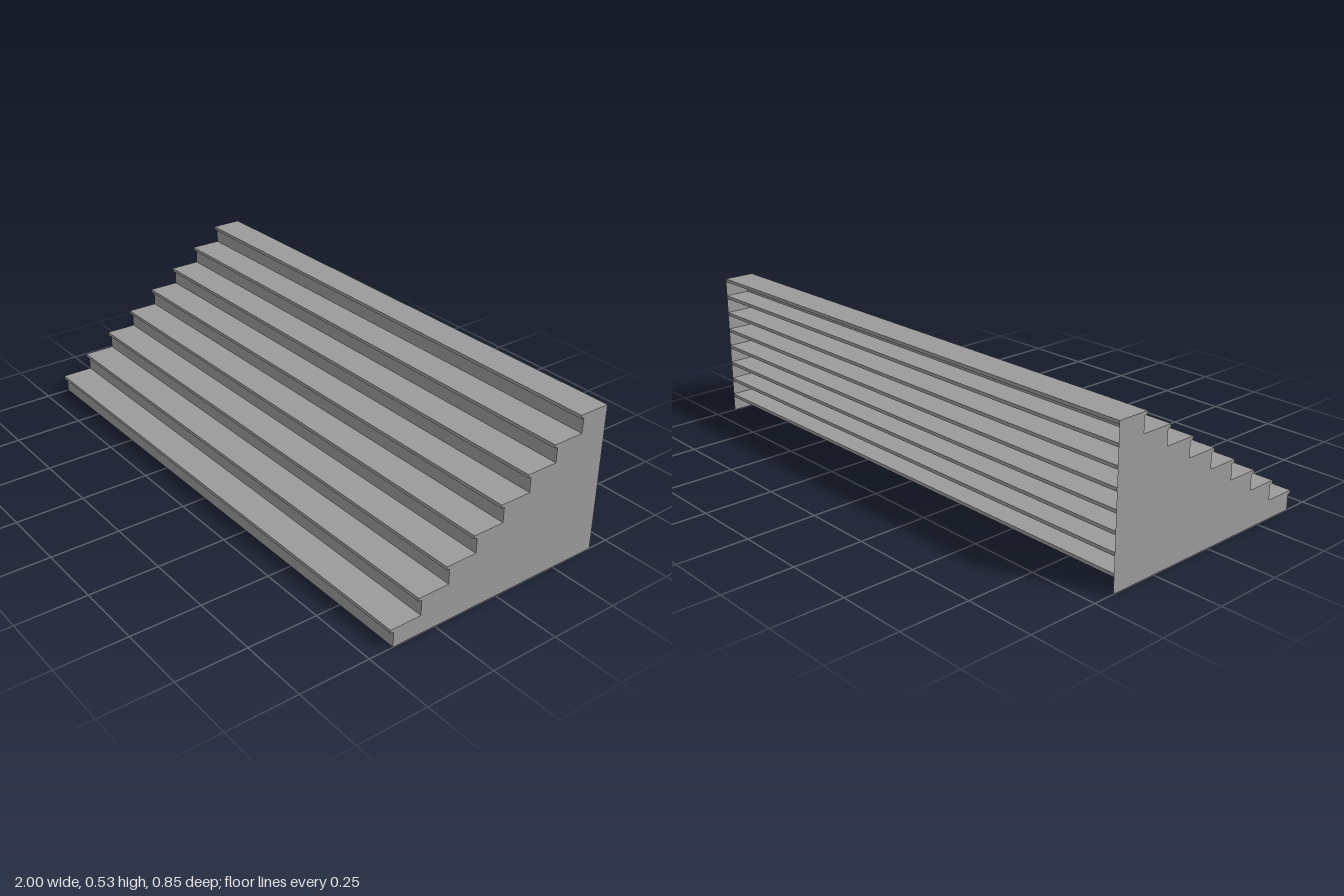
import * as THREE from 'three';

const STEPS = 8, WIDTH = 2, RISE = 0.0663, RUN = 0.1044;
const FRONT = 0.423, BACK = -0.423, THICK = 0.0118, NOSING = 0.0115;

export function createModel() {
  const group = new THREE.Group();
  group.name = 'staircase';
  const material = new THREE.MeshStandardMaterial({ color: 0x9b9b9b, side: THREE.DoubleSide });

  const add = (name, geometry, x, y, z) => {
    const mesh = new THREE.Mesh(geometry, material);
    mesh.name = name;
    mesh.position.set(x, y, z);
    group.add(mesh);
  };

  // Stepped outline of the side panels, drawn in (z, y)
  const outline = new THREE.Shape();
  outline.moveTo(BACK, 0);
  outline.lineTo(FRONT - NOSING, 0);

  for (let i = 0; i < STEPS; i++) {
    const top = RISE * (i + 1), nose = FRONT - RUN * i, riserZ = nose - NOSING;

    // Tread: a thin board running from its nosing right to the open back
    add(`tread${i + 1}`, new THREE.BoxGeometry(WIDTH, THICK, nose - BACK),
      0, top - THICK / 2, (nose + BACK) / 2);

    // Riser: thin board set back under the nosing
    const height = RISE - THICK;
    add(`riser${i + 1}`, new THREE.BoxGeometry(WIDTH, height, THICK),
      0, top - THICK - height / 2, riserZ - THICK / 2);

    outline.lineTo(riserZ, top);
    outline.lineTo(i < STEPS - 1 ? riserZ - RUN : BACK, top);
  }

  // Thin side panels; the back and the underside stay open
  const panel = new THREE.ShapeGeometry(outline).rotateY(-Math.PI / 2);
  add('rightSidePanel', panel, -WIDTH / 2, 0, 0);
  const leftPanel = panel.clone();
  leftPanel.setIndex([...panel.index.array].reverse());
  leftPanel.computeVertexNormals();
  add('leftSidePanel', leftPanel, WIDTH / 2, 0, 0);

  return group;
}
